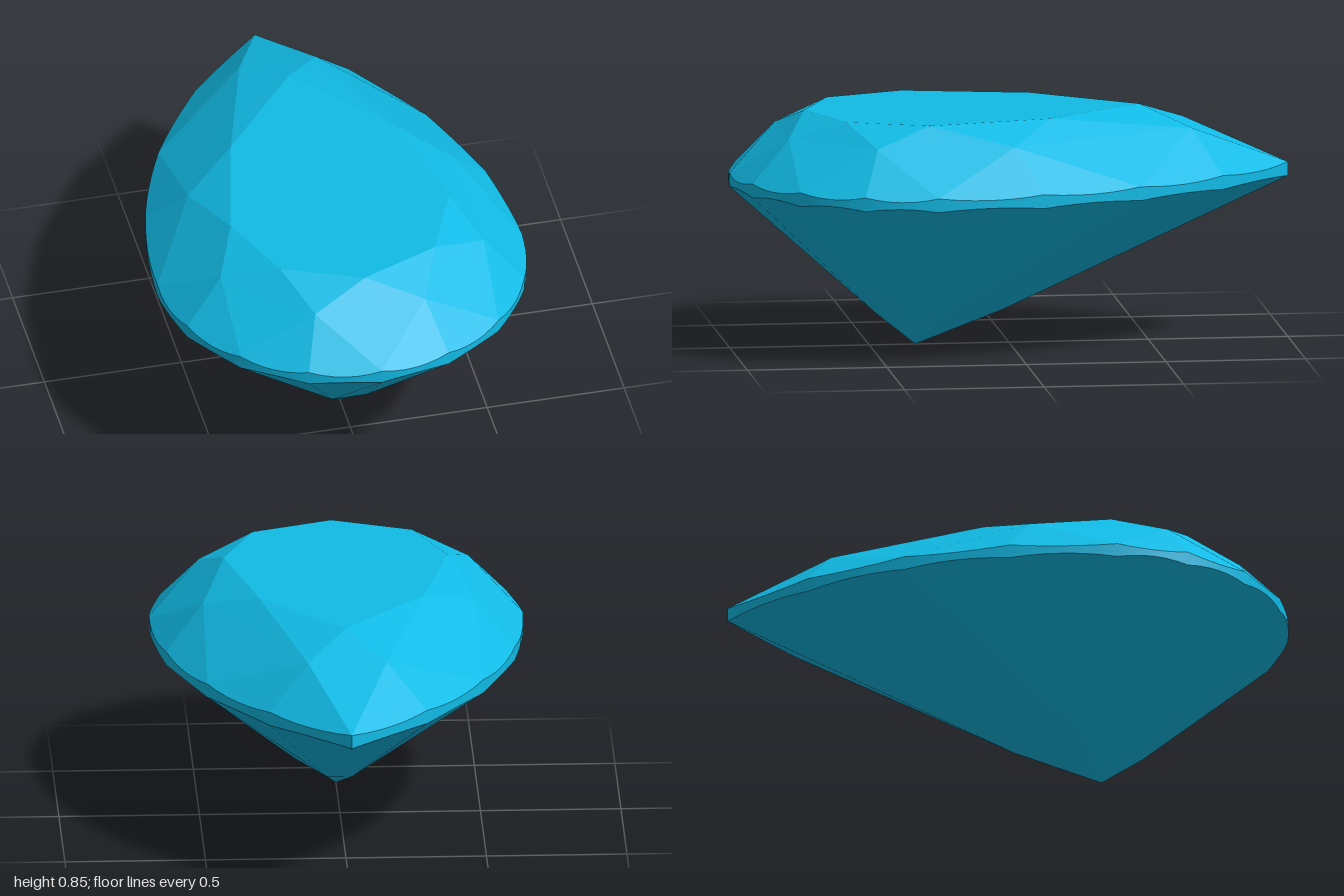
import * as THREE from 'three';
import { toCreasedNormals } from 'three/addons/utils/BufferGeometryUtils.js';

const CENTRE_Z = 0.335, RADIUS = 0.665;          // round end of the pear
const TABLE_Y = 0.85, STAR_Y = 0.78, RIM_TOP = 0.63, RIM_LOW = 0.58, BREAK_Y = 0.125;
const STEPS = 6;                                 // rim segments per facet
const V = (x, y, z) => new THREE.Vector3(x, y, z);
const INSIDE = V(0, 0.6, 0.2);

// Pear outline about the culet: k = 0 front, 4 side, 8 back tip, 16 front again
function outline(k) {
  k = ((k % 16) + 16) % 16;
  const side = k > 8 ? -1 : 1;
  if (k > 8) k = 16 - k;
  if (k <= 4) {
    const a = (k / 4) * Math.PI / 2;
    return [side * RADIUS * Math.sin(a), RADIUS * Math.cos(a)];
  }
  // Long flank: arc that leaves the round end smoothly and ends at the tip
  const len = 1 + CENTRE_Z;
  const c = (len * len - RADIUS * RADIUS) / (2 * RADIUS), R = RADIUS + c;
  const a = ((k - 4) / 4) * Math.asin(len / R);
  return [side * (R * Math.cos(a) - c), -R * Math.sin(a)];
}
const ringPoint = (k, scale, y) => {
  const [x, z] = outline(k);
  return V(x * scale, y, CENTRE_Z + z * scale);
};

// Corners between neighbouring main facets, front to back
const CORNERS = [[0.2, 0.478], [0.48, 0.195], [0.485, -0.295], [0.14, -0.975]];
function corner(j, scale, y) {
  j = ((j % 8) + 8) % 8;
  const [x, z] = CORNERS[j < 4 ? j : 7 - j];
  return V((j < 4 ? 1 : -1) * x * scale, y, CENTRE_Z + z * scale);
}

// Curve where the flat facet (apex, rim k0, rim k1) meets the girdle wall
function rimCurve(apex, k0, k1, y) {
  const plane = new THREE.Plane().setFromCoplanarPoints(apex, ringPoint(k0, 1, y), ringPoint(k1, 1, y));
  const n = plane.normal, pts = [];
  for (let i = 0; i <= STEPS; i++) {
    const p = ringPoint(k0 + (k1 - k0) * i / STEPS, 1, y);
    p.y = -(n.x * p.x + n.z * p.z + plane.constant) / n.y;
    pts.push(p);
  }
  return pts;
}

// Adds a triangle turned to face outwards
function tri(out, a, b, c) {
  const n = b.clone().sub(a).cross(c.clone().sub(a));
  const mid = a.clone().add(b).add(c).divideScalar(3).sub(INSIDE);
  const order = n.dot(mid) >= 0 ? [a, b, c] : [a, c, b];
  for (const p of order) out.push(p.x, p.y, p.z);
}
function fan(out, apex, pts) {
  for (let i = 0; i + 1 < pts.length; i++) tri(out, apex, pts[i], pts[i + 1]);
}

export function createModel() {
  const group = new THREE.Group();
  const material = new THREE.MeshStandardMaterial({ color: 0x11bbe6 });
  const add = (name, verts, crease) => {
    let geo = new THREE.BufferGeometry();
    geo.setAttribute('position', new THREE.Float32BufferAttribute(verts, 3));
    geo.computeVertexNormals();
    if (crease) geo = toCreasedNormals(geo, crease);
    const mesh = new THREE.Mesh(geo, material);
    mesh.name = name;
    group.add(mesh);
  };

  const table = [], crown = [], girdle = [], pavilion = [];
  const culet = V(0, 0, CENTRE_Z);
  const tablePoint = (j) => ringPoint(2 * j, 0.6, TABLE_Y);

  for (let j = 0; j < 8; j++) {
    const t0 = tablePoint(j), t1 = tablePoint(j + 1);
    const star = corner(j, 1, STAR_Y), starPrev = corner(j - 1, 1, STAR_Y);
    const low = corner(j, 0.315, BREAK_Y), lowPrev = corner(j - 1, 0.315, BREAK_Y);
    const mainTop = ringPoint(2 * j, 1, RIM_TOP), mainLow = ringPoint(2 * j, 1, RIM_LOW);

    // Flat table on top
    tri(table, V(0, TABLE_Y, CENTRE_Z), t0, t1);

    // Crown: star facet and main kite
    tri(crown, t0, t1, star);
    tri(crown, t0, starPrev, star);
    tri(crown, starPrev, mainTop, star);

    // Pavilion: long main kite down to the culet
    tri(pavilion, culet, lowPrev, low);
    tri(pavilion, lowPrev, mainLow, low);

    // Paired half facets above and below, with the girdle wall between them
    for (const h of [0, 1]) {
      const k = 2 * j + h;
      const top = rimCurve(star, k, k + 1, RIM_TOP);
      const bottom = rimCurve(low, k, k + 1, RIM_LOW);
      fan(crown, star, top);
      fan(pavilion, low, bottom);
      for (let i = 0; i < STEPS; i++) {
        tri(girdle, top[i], top[i + 1], bottom[i]);
        tri(girdle, bottom[i], bottom[i + 1], top[i + 1]);
      }
    }
  }

  add('table', table);
  add('crown', crown);
  add('girdle', girdle, 0.6);
  add('pavilion', pavilion);
  return group;
}
